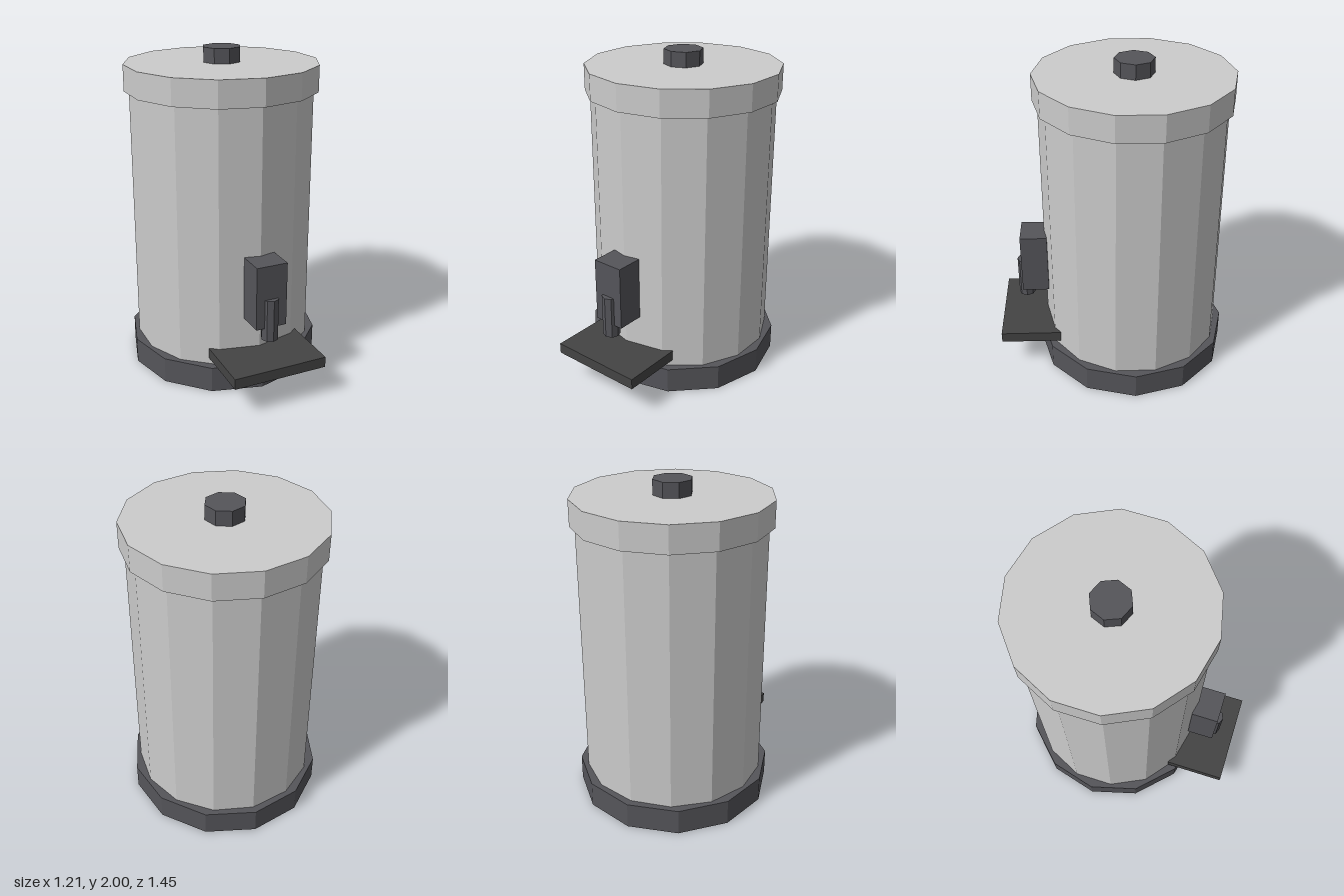
import * as THREE from 'three';

const AXIS_Z = -0.12; // centre line of the round body

const material = (color) => new THREE.MeshStandardMaterial({ color, flatShading: true });

export function createModel() {
  const model = new THREE.Group();
  model.name = 'drinkUrn';
  const grey = material(0xcccccc);
  const dark = material(0x55555a);
  const trayDark = material(0x444444);

  const add = (name, geometry, mat, x, y, z) => {
    const mesh = new THREE.Mesh(geometry, mat);
    mesh.name = name;
    mesh.position.set(x, y, z);
    model.add(mesh);
  };
  // Upright prism from y0 to y1
  const drum = (name, radius, sides, y0, y1, z, mat) =>
    add(name, new THREE.CylinderGeometry(radius, radius, y1 - y0, sides), mat, 0, (y0 + y1) / 2, z);
  // Block centred on x, from y0 to y1 and z0 to z1
  const block = (name, width, y0, y1, z0, z1, mat) =>
    add(name, new THREE.BoxGeometry(width, y1 - y0, z1 - z0), mat, 0, (y0 + y1) / 2, (z0 + z1) / 2);

  // Stacked container
  drum('base', 0.605, 12, 0, 0.16, AXIS_Z, dark);
  drum('body', 0.56, 14, 0.16, 1.75, AXIS_Z, grey);
  drum('lid', 0.59, 14, 1.75, 1.91, AXIS_Z, grey);
  drum('lidKnob', 0.118, 8, 1.91, 2, AXIS_Z, dark);

  // Tap and drip tray at the front
  block('tapHousing', 0.196, 0.465, 0.86, 0.42, 0.588, dark);
  drum('spout', 0.052, 8, 0.385, 0.648, 0.568, dark);
  block('dripTray', 0.592, 0.2, 0.266, 0.347, 0.725, trayDark);

  return model;
}
